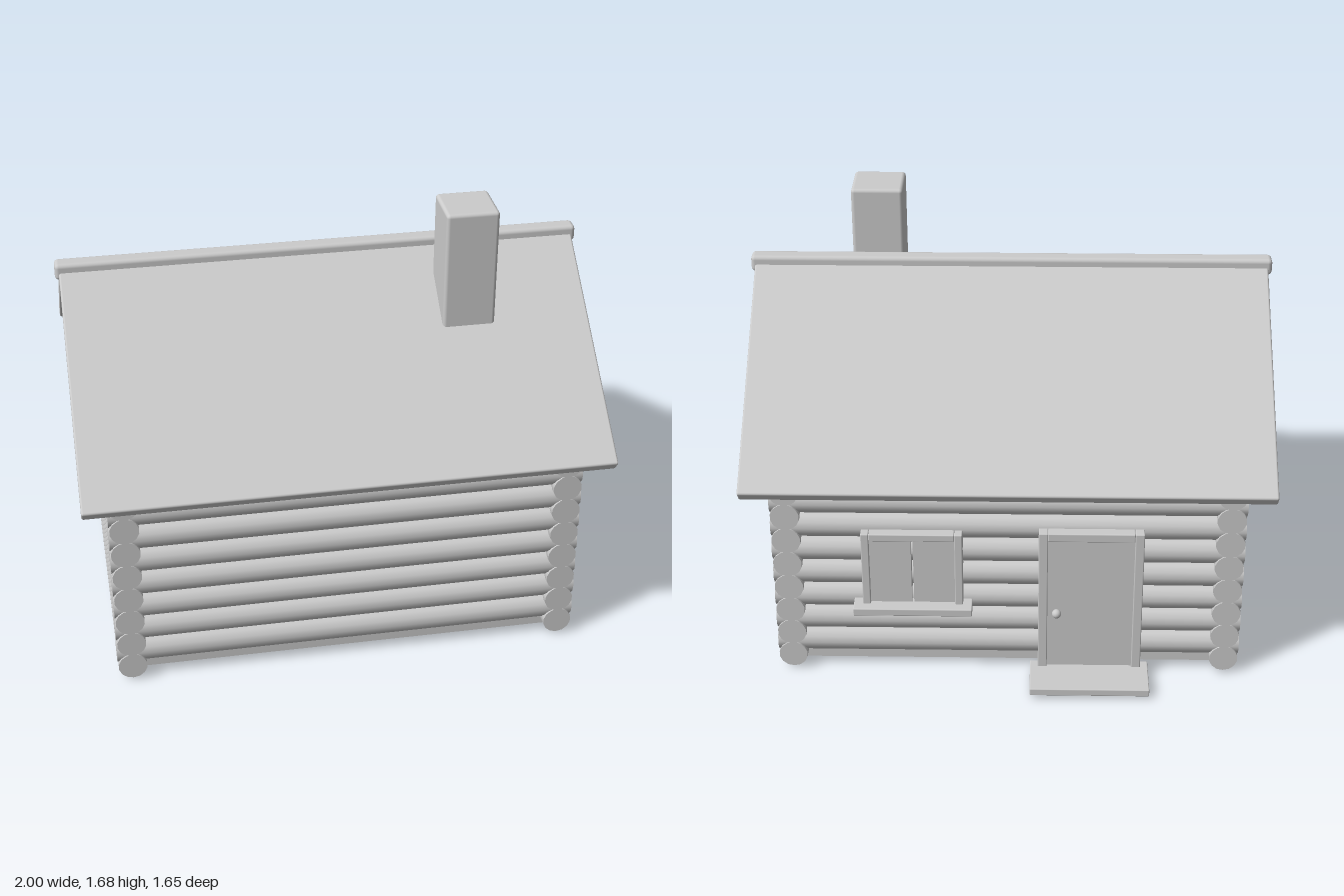
import * as THREE from 'three';
import { RoundedBoxGeometry } from 'three/addons/geometries/RoundedBoxGeometry.js';

export function createModel() {
  const model = new THREE.Group();
  model.name = 'logCabin';
  const grey = new THREE.MeshStandardMaterial({ color: 0xcccccc });
  grey.name = 'plain grey';

  function add(name, geometry, x, y, z) {
    const mesh = new THREE.Mesh(geometry, grey);
    mesh.name = name;
    mesh.position.set(x, y, z);
    model.add(mesh);
    return mesh;
  }
  // Box given by its limits, optionally with rounded edges
  function box(name, [x0, x1], [y0, y1], [z0, z1], r = 0) {
    const s = [x1 - x0, y1 - y0, z1 - z0];
    const g = r ? new RoundedBoxGeometry(...s, 2, r) : new THREE.BoxGeometry(...s);
    return add(name, g, (x0 + x1) / 2, (y0 + y1) / 2, (z0 + z1) / 2);
  }

  const midZ = 0.036;

  // Log walls: side logs sit half a log lower than front and back logs
  const R = 0.055;
  const longLog = new THREE.CylinderGeometry(R, R, 1.78, 14).rotateZ(Math.PI / 2);
  const sideLog = new THREE.CylinderGeometry(R, R, 1.366, 14).rotateX(Math.PI / 2);
  for (let i = 0; i < 8; i++) {
    const lift = i * 0.104;
    add('frontLog', longLog, 0, 0.124 + lift, midZ + 0.624);
    add('backLog', longLog, 0, 0.124 + lift, midZ - 0.624);
    for (const s of [-1, 1]) add('sideLog', sideLog, s * 0.833, 0.072 + lift, midZ);
  }
  box('floor', [-0.835, 0.835], [0.02, 0.075], [midZ - 0.624, midZ + 0.624]);

  // Roof slabs meeting at the ridge
  const pitch = Math.atan(0.753);
  const length = 0.97;
  for (const s of [-1, 1]) {
    const slab = add('roofSlab', new RoundedBoxGeometry(1.97, 0.053, length, 2, 0.008),
      0, 1.423 - Math.sin(pitch) * length / 2, midZ + s * Math.cos(pitch) * length / 2);
    slab.rotation.x = s * pitch;
  }
  box('ridgeBeam', [-1, 1], [1.4, 1.465], [midZ - 0.033, midZ + 0.033], 0.016);
  box('chimney', [0.42, 0.62], [1.17, 1.685], [0.145, 0.345], 0.014);

  // Gable ends, each in two triangular halves
  for (const side of [-1, 1]) {
    for (const s of [-1, 1]) {
      const tri = new THREE.Shape([
        new THREE.Vector2(s * 0.004, 0.905),
        new THREE.Vector2(s * 0.635, 0.905),
        new THREE.Vector2(s * 0.004, 1.388),
      ]);
      const g = new THREE.ExtrudeGeometry(tri, { depth: 0.03, bevelEnabled: false });
      g.translate(0, 0, -0.015).rotateY(Math.PI / 2);
      add('gable', g, side * 0.865, 0, midZ);
    }
  }

  // Frame of four bars around a recessed opening on the back wall
  function frame(name, [x0, x1], [y0, y1], w, z) {
    box(name, [x0, x0 + w], [y0, y1], z, 0.004);
    box(name, [x1 - w, x1], [y0, y1], z, 0.004);
    box(name, [x0 + w, x1 - w], [y1 - w, y1], z, 0.004);
    box(name, [x0 + w, x1 - w], [y0, y0 + w * 0.5], z, 0.004);
  }

  // Door with knob and doorstep
  frame('doorFrame', [-0.51, -0.115], [0.005, 0.655], 0.035, [-0.68, -0.61]);
  box('door', [-0.475, -0.15], [0.02, 0.62], [-0.668, -0.61]);
  add('doorKnob', new THREE.SphereGeometry(0.018, 14, 10), -0.185, 0.3, -0.684);
  box('doorstep', [-0.54, -0.085], [0.02, 0.05], [-0.825, -0.64], 0.004);

  // Window with two panes and a sill
  frame('windowFrame', [0.17, 0.55], [0.32, 0.645], 0.03, [-0.68, -0.61]);
  box('windowPane', [0.2, 0.356], [0.335, 0.615], [-0.665, -0.61]);
  box('windowPane', [0.364, 0.52], [0.335, 0.615], [-0.665, -0.61]);
  box('windowSill', [0.135, 0.585], [0.305, 0.336], [-0.718, -0.62], 0.004);

  return model;
}
